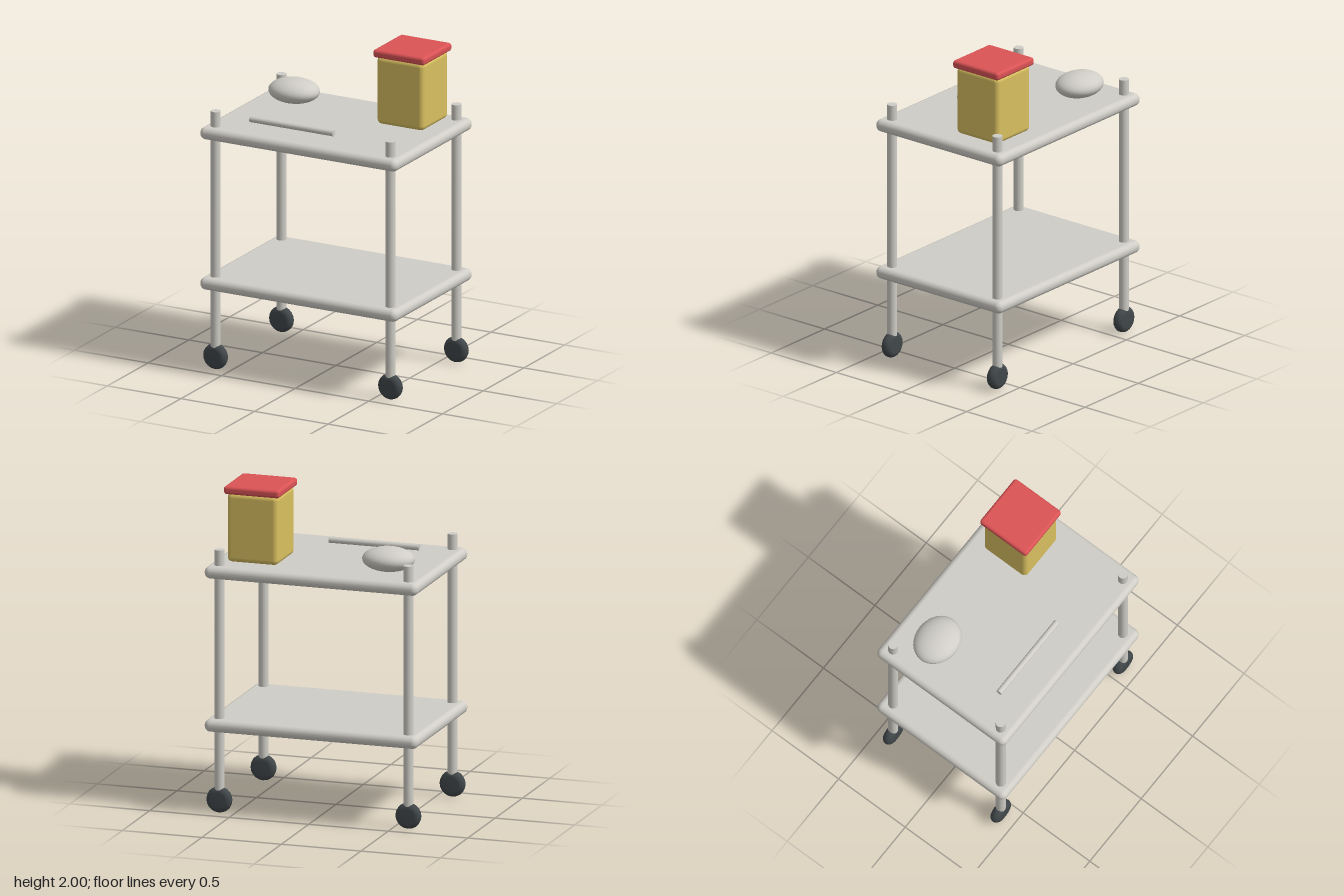
import * as THREE from 'three';
import { RoundedBoxGeometry } from 'three/addons/geometries/RoundedBoxGeometry.js';

function material(name, color) {
  const m = new THREE.MeshStandardMaterial({ color });
  m.name = name;
  return m;
}

export function createModel() {
  const cart = new THREE.Group();
  cart.name = 'trolley';
  const steel = material('pale steel', 0xcfcdc6);
  const rubber = material('dark rubber', 0x41474a);
  const yellow = material('yellow', 0xd9c060);
  const red = material('red', 0xdb5355);

  function add(name, geometry, mat, x, y, z) {
    const mesh = new THREE.Mesh(geometry, mat);
    mesh.name = name;
    mesh.position.set(x, y, z);
    cart.add(mesh);
    return mesh;
  }

  // Two rounded trays
  const tray = new RoundedBoxGeometry(1.34, 0.076, 0.964, 5, 0.036);
  add('lowerShelf', tray, steel, 0, 0.542, 0);
  add('upperShelf', tray, steel, 0, 1.482, 0);

  // Four posts, each ending in a round-edged caster
  const post = new THREE.CylinderGeometry(0.03, 0.03, 1.475, 20);
  const rim = [new THREE.Vector2(0, -0.033)];
  for (let i = 0; i <= 8; i++) {
    const a = -Math.PI / 2 + (i / 8) * Math.PI;
    rim.push(new THREE.Vector2(0.047 + 0.033 * Math.cos(a), 0.033 * Math.sin(a)));
  }
  rim.push(new THREE.Vector2(0, 0.033));
  const wheel = new THREE.LatheGeometry(rim, 20).rotateX(Math.PI / 2);
  for (const x of [-0.594, 0.594]) {
    for (const z of [-0.404, 0.404]) {
      add('post', post, steel, x, 0.8775, z);
      add('wheel', wheel, rubber, x, 0.08, z);
    }
  }

  // Canister with its overhanging lid
  add('canister', new RoundedBoxGeometry(0.32, 0.424, 0.32, 4, 0.03), yellow, 0.4, 1.745, -0.215);
  add('canisterLid', new RoundedBoxGeometry(0.35, 0.05, 0.35, 4, 0.018), red, 0.4, 1.975, -0.215);

  // Flattened oval dish
  const dish = new THREE.SphereGeometry(1, 32, 20).scale(0.16, 0.073, 0.133);
  add('dish', dish, steel, -0.405, 1.595, -0.218);

  // Thin rod lying along the front of the tray
  const rod = new THREE.CylinderGeometry(0.019, 0.019, 0.565, 16).rotateZ(Math.PI / 2);
  add('rod', rod, steel, -0.15, 1.55, 0.266);

  return cart;
}
